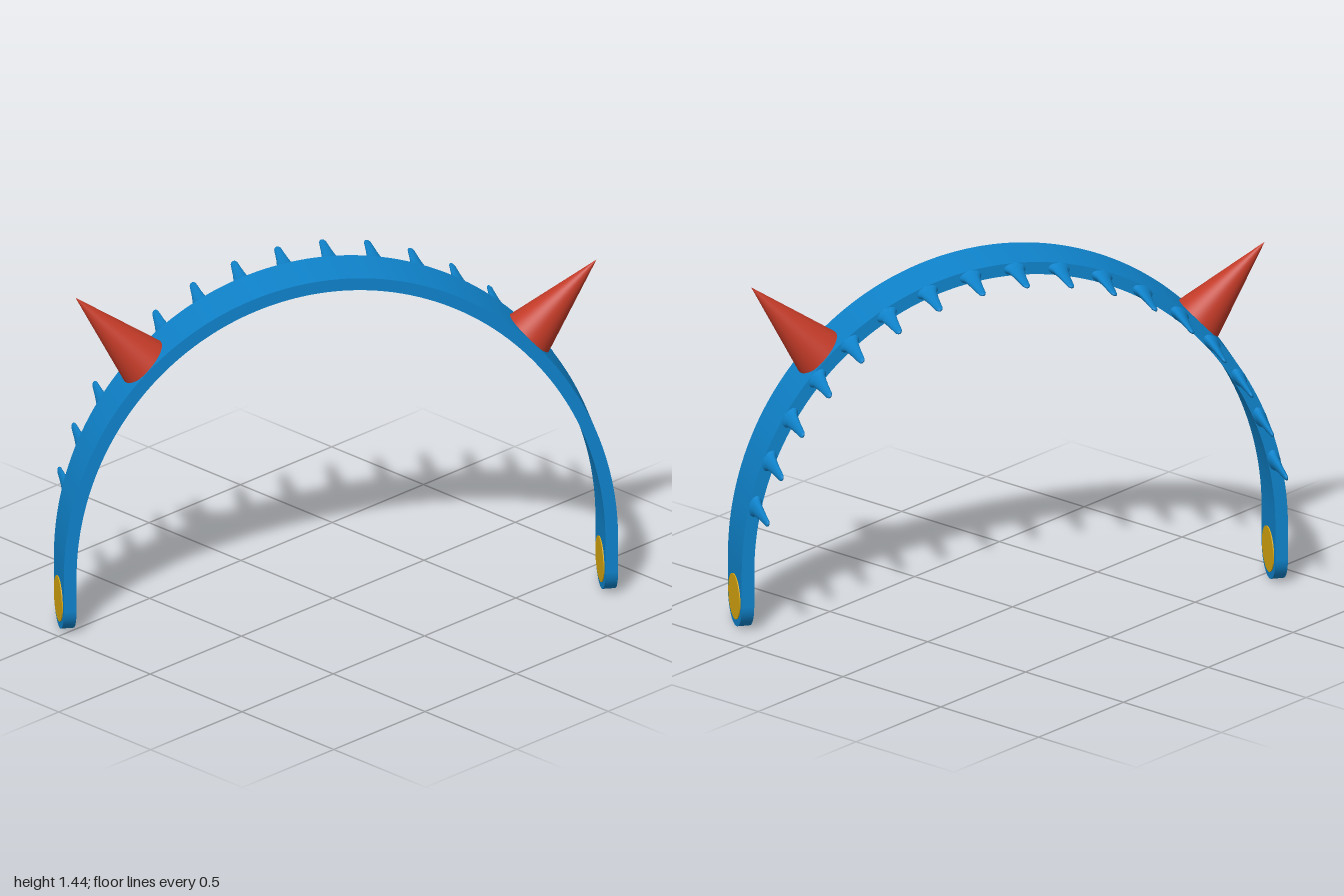
import * as THREE from 'three';
import { toCreasedNormals } from 'three/addons/utils/BufferGeometryUtils.js';

const A = 1.087, B = 1.185, CY = 0.25;   // outer half-ellipse radii and centre height
const T = 0.05;                          // band thickness
const W = 0.22, WZ = 0.073;              // band width and its centre along z
const R = W / 2;                         // radius of the rounded ends

function mat(name, color) {
  const m = new THREE.MeshStandardMaterial({ color });
  m.name = name;
  return m;
}

export function createModel() {
  const blue = mat('blue plastic', 0x0f83cb);
  const red = mat('red horn', 0xc23a27);
  const yellow = mat('yellow pad', 0xd9a810);

  const model = new THREE.Group();
  model.name = 'hornedHeadband';
  const add = (name, geometry, material, parent = model) => {
    const mesh = new THREE.Mesh(geometry, material);
    mesh.name = name;
    parent.add(mesh);
    return mesh;
  };

  // Arched band: half ellipse on straight legs
  const arch = new THREE.Shape();
  arch.moveTo(A, R);
  arch.lineTo(A, CY);
  arch.absellipse(0, CY, A, B, 0, Math.PI, false, 0);
  arch.lineTo(-A, R);
  arch.lineTo(-A + T, R);
  arch.lineTo(-A + T, CY);
  arch.absellipse(0, CY, A - T, B - T, Math.PI, 0, true, 0);
  arch.lineTo(A - T, R);
  const bandGeo = new THREE.ExtrudeGeometry(arch, { depth: W, bevelEnabled: false, curveSegments: 72 });
  add('band', toCreasedNormals(bandGeo, 0.5), blue).position.z = WZ - R;

  // Rounded ends, round pads on both faces, and horns, mirrored
  const endGeo = new THREE.CylinderGeometry(R, R, T, 48).rotateZ(Math.PI / 2);
  const padGeo = new THREE.CylinderGeometry(0.09, 0.09, T + 0.008, 48).rotateZ(Math.PI / 2);
  const hornBase = new THREE.Vector3(0.755, 1.095, WZ);
  const hornTip = new THREE.Vector3(1.022, 1.388, WZ);
  const hornLength = hornBase.distanceTo(hornTip);
  const hornGeo = new THREE.ConeGeometry(0.105, hornLength, 48);
  const hornTilt = Math.atan2(hornTip.x - hornBase.x, hornTip.y - hornBase.y);
  for (const side of [-1, 1]) {
    const label = side > 0 ? 'left' : 'right';
    const x = side * (A - T / 2);
    add(label + 'RoundedEnd', endGeo, blue).position.set(x, R, WZ);
    add(label + 'Pad', padGeo, yellow).position.set(x, 0.118, WZ);
    const horn = add(label + 'Horn', hornGeo, red);
    horn.position.addVectors(hornBase, hornTip).multiplyScalar(0.5);
    horn.position.x *= side;
    horn.rotation.z = -side * hornTilt;
  }

  // Comb teeth along the back edge, flared at the root and blunt at the tip
  const profile = [[0.045, 0], [0.031, 0.03], [0.022, 0.1], [0.014, 0.19], [0.009, 0.204], [0, 0.208]]
    .map(([r, y]) => new THREE.Vector2(r, y));
  const toothGeo = new THREE.LatheGeometry(profile, 16).scale(0.58, 1, 1).rotateX(-Math.PI / 2);
  const teeth = new THREE.Group();
  teeth.name = 'combTeeth';
  model.add(teeth);
  const a = A - T / 2, b = B - T / 2;
  for (let i = -8; i <= 8; i++) {
    const t = Math.PI / 2 + i * THREE.MathUtils.degToRad(9.54);
    const tooth = add('tooth', toothGeo, blue, teeth);
    tooth.position.set(a * Math.cos(t), CY + b * Math.sin(t), WZ - R + 0.003);
    tooth.rotation.z = Math.atan2(Math.sin(t) / b, Math.cos(t) / a);
  }

  // The whole band stands turned about the vertical
  model.rotation.y = THREE.MathUtils.degToRad(54.9);
  const root = new THREE.Group();
  root.name = 'headband';
  root.add(model);
  return root;
}
